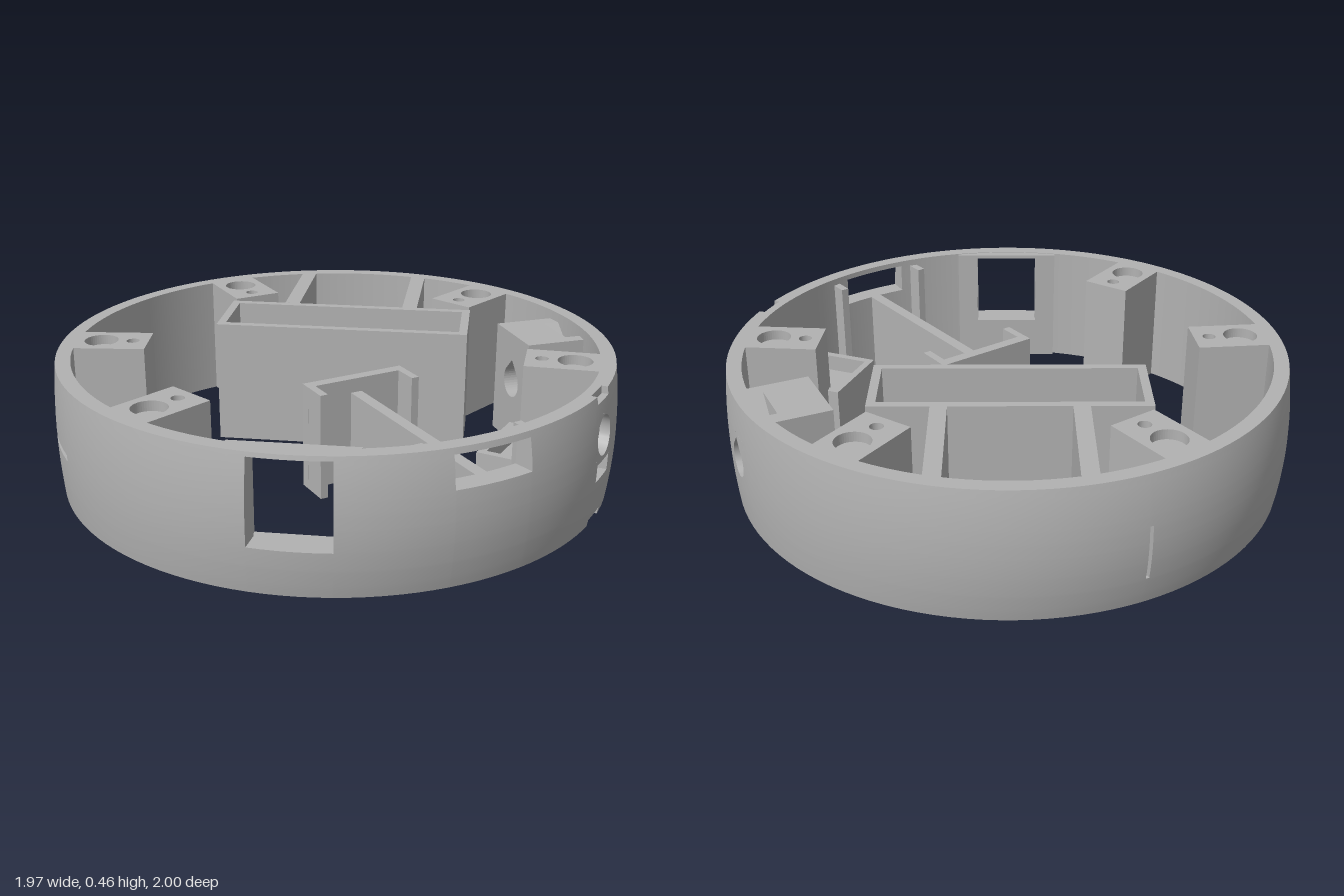
import * as THREE from 'three';
import { toCreasedNormals } from 'three/addons/utils/BufferGeometryUtils.js';

const H = 0.455, RI = 0.92, PI = Math.PI;
const grey = new THREE.MeshStandardMaterial({ color: 0xb2b2b2, side: THREE.DoubleSide });
grey.name = 'grey plastic';

// Point on the wall: angle from the front, height, t = 0 outside .. 1 inside
function wallPoint(a, y, t) {
  const k = (y - H / 2) / (H / 2);
  const bulge = 0.012 * Math.sin(a) ** 2 + 0.028 * Math.cos(a) ** 2;
  const ro = 0.972 + bulge * (1 - k * k);
  const r = ro + (RI - ro) * t;
  return [r * Math.sin(a), y, r * Math.cos(a)];
}

// Rectangular cuts: angle range, height range, depth t (1 = right through)
const F = 0.76;
const cuts = [
  [-0.57, -0.31, 0.16, 0.44, 1],
  [0.05, 0.325, 0.33, 0.435, 1],
  [F - 0.06, F + 0.06, 0.165, 0.225, 1],
  [F - 0.055, F + 0.055, 0.43, H, 0.4],
  [F - 0.055, F + 0.055, 0, 0.025, 0.4],
  [-PI / 2 - 0.165, -PI / 2 + 0.165, 0.2, 0.222, 0.25],
  [PI - 0.015, PI - 0.003, 0.1, 0.29, 0.25],
];

// Polar outlines for the round openings, angle 0 pointing up
const square = h => a => h / Math.max(Math.abs(Math.sin(a)), Math.abs(Math.cos(a)));
const circle = r => () => r;
const teardrop = r => a => {
  const d = Math.abs(Math.atan2(Math.sin(a), Math.cos(a)));
  return d < PI / 4 ? r / Math.cos(PI / 4 - d) : r;
};
// Square wall patches, each a run of rings [outline, depth] from outside to inside
const patches = [
  { a: PI / 2, y: 0.235, h: 0.1, rings: [[square(0.1), 0], [teardrop(0.06), 0], [teardrop(0.06), 1], [square(0.1), 1]] },
  { a: F, y: 0.31, h: 0.075, rings: [[square(0.075), 0], [circle(0.068), 0], [circle(0.068), 0.5],
    [teardrop(0.038), 0.5], [teardrop(0.038), 1], [square(0.075), 1]] },
];

function wallGeometry() {
  const pos = [];
  const quad = (a, b, c, d) => [a, b, c, a, c, d].forEach(p => pos.push(...wallPoint(...p)));
  const breaks = (lo, hi, n, extra) => {
    const fixed = [lo, hi, ...extra];
    for (let i = 1; i < n; i++) {
      const v = lo + (hi - lo) * i / n;
      if (!extra.some(e => Math.abs(e - v) < 0.002)) fixed.push(v);
    }
    return fixed.sort((p, q) => p - q).filter((v, i, s) => !i || v - s[i - 1] > 1e-6);
  };
  const A = breaks(-PI, PI, 120, [...cuts.flatMap(c => [c[0], c[1]]), ...patches.flatMap(p => [p.a - p.h, p.a + p.h])]);
  const Y = breaks(0, H, 10, [...cuts.flatMap(c => [c[2], c[3]]), ...patches.flatMap(p => [p.y - p.h, p.y + p.h])]);
  const n = A.length - 1, m = Y.length - 1;
  const mid = (s, i) => (s[i] + s[i + 1]) / 2;
  const depth = (i, j) => {
    if (j < 0 || j >= m) return 1;
    const a = mid(A, i % n), y = mid(Y, j);
    const c = cuts.find(q => a > q[0] && a < q[1] && y > q[2] && y < q[3]);
    return c ? c[4] : 0;
  };
  for (let i = 0; i < n; i++) for (let j = -1; j < m; j++) {
    const a0 = A[i], a1 = A[i + 1], y0 = Y[j], y1 = Y[j + 1];
    const t = depth(i, j), up = depth(i, j + 1);
    if (t !== up) quad([a0, y1, t], [a1, y1, t], [a1, y1, up], [a0, y1, up]);
    if (j < 0) continue;
    const next = depth(i + 1, j);
    if (t !== next) quad([a1, y0, t], [a1, y0, next], [a1, y1, next], [a1, y1, t]);
    const patched = patches.some(p => Math.abs(mid(A, i) - p.a) < p.h && Math.abs(mid(Y, j) - p.y) < p.h);
    if (t === 1 || patched) continue;
    quad([a0, y0, t], [a1, y0, t], [a1, y1, t], [a0, y1, t]);
    quad([a1, y0, 1], [a0, y0, 1], [a0, y1, 1], [a1, y1, 1]);
  }
  // Lofted patches around the round openings
  const N = 40;
  for (const p of patches) for (let k = 0; k < p.rings.length - 1; k++) for (let i = 0; i < N; i++) {
    const at = (ring, s) => {
      const w = s / N * 2 * PI, r = ring[0](w);
      return [p.a + r * Math.sin(w), p.y + r * Math.cos(w), ring[1]];
    };
    const [o, q] = [p.rings[k], p.rings[k + 1]];
    quad(at(o, i + 1), at(o, i), at(q, i), at(q, i + 1));
  }
  const g = new THREE.BufferGeometry();
  g.setAttribute('position', new THREE.Float32BufferAttribute(pos, 3));
  return toCreasedNormals(g, 0.5);
}

function add(parent, name, geo) {
  const mesh = new THREE.Mesh(geo, grey);
  mesh.name = name;
  parent.add(mesh);
  return mesh;
}
// Box of width w and depth d between two heights
function box(parent, name, x, z, w, d, y0, y1, turn = 0) {
  const b = add(parent, name, new THREE.BoxGeometry(w, y1 - y0, d));
  b.position.set(x, (y0 + y1) / 2, z);
  b.rotation.y = turn;
  return b;
}
function group(parent, name, x = 0, z = 0, turn = 0) {
  const g = new THREE.Group();
  g.name = name;
  g.position.set(x, 0, z);
  g.rotation.y = turn;
  parent.add(g);
  return g;
}
const poly = pts => new THREE.Shape(pts.map(p => new THREE.Vector2(...p)));
const rect = (x0, x1, y0, y1) => poly([[x0, y0], [x1, y0], [x1, y1], [x0, y1]]);
const extrude = (shape, depth) => new THREE.ExtrudeGeometry(shape, { depth, bevelEnabled: false, curveSegments: 24 });
const hole = (shape, x, y, r) => shape.holes.push(new THREE.Path().absarc(x, y, r, 0, 2 * PI, true));

export function createModel() {
  const model = new THREE.Group();
  model.name = 'roundHousing';
  add(model, 'outerWall', wallGeometry());

  // Screw posts with a wide and a narrow socket at both ends
  for (const a of [-2.96, -1.92, -1.06, 2.1, 1.05]) {
    const post = group(model, 'screwPost', 0, 0, a);
    box(post, 'postCore', 0, 0.798, 0.18, 0.264, 0.035, H - 0.035);
    const cap = rect(-0.09, 0.09, -0.93, -0.666);
    hole(cap, 0, -0.835, 0.06);
    hole(cap, 0, -0.722, 0.023);
    for (const y of [0, H - 0.035]) {
      const c = add(post, 'postEnd', extrude(cap, 0.035));
      c.rotation.x = -PI / 2;
      c.position.y = y;
    }
  }

  // Open rectangular compartment with cross bars and ribs to the wall
  const bay = group(model, 'compartment', 0.128, -0.285, -0.441);
  for (const s of [-1, 1]) {
    box(bay, 'longSide', 0, s * 0.137, 0.925, 0.03, 0, H);
    box(bay, 'shortSide', s * 0.4475, 0, 0.03, 0.26, 0, H);
  }
  for (const x of [-0.36, 0, 0.36]) box(bay, 'crossBar', x, 0, 0.065, 0.26, 0, 0.24);
  box(model, 'wallRib', 0.078, -0.715, 0.056, 0.43, 0, H, -0.441);
  box(model, 'wallRib', 0.495, -0.525, 0.056, 0.46, 0, H, -0.441);

  // T-shaped bracket with two short legs and a long beam
  const bracket = group(model, 'bracket', 0.025, 0.142, 0.19);
  box(bracket, 'bracketPlate', 0, 0, 0.385, 0.04, 0, 0.38);
  for (const s of [-1, 1]) box(bracket, 'bracketLeg', s * 0.178, 0.055, 0.028, 0.11, 0, 0.38);
  box(bracket, 'bracketBeam', -0.005, 0.4, 0.042, 0.77, 0, 0.33);

  // Guides beside the front slot
  box(model, 'slotGuide', -0.012, 0.895, 0.028, 0.07, 0, 0.43, 0.19);
  box(model, 'slotGuide', 0.34, 0.83, 0.028, 0.08, 0, 0.43, 0.19);

  // Flat frame behind the large window
  const frameShape = rect(-0.2, 0.2, 0, H - 0.002);
  frameShape.holes.push(rect(-0.122, 0.122, 0.16, 0.44));
  const frame = add(group(model, 'windowFrame', 0, 0, -0.44), 'framePlate', extrude(frameShape, 0.035));
  frame.position.z = 0.885;

  // Shallow tray inside the small round opening
  const tray = group(model, 'tray', 0, 0, F);
  box(tray, 'trayBase', 0, 0.755, 0.295, 0.29, 0, 0.165);
  for (const s of [-1, 1]) box(tray, 'traySide', s * 0.1345, 0.755, 0.026, 0.29, 0.165, 0.225);
  box(tray, 'trayEdge', 0, 0.623, 0.243, 0.026, 0.165, 0.225);

  // Cable block with a teardrop bore, notched where it meets the wall
  const bore = () => {
    const r = teardrop(0.06), pts = [];
    for (let i = 0; i < 40; i++) {
      const w = i / 40 * 2 * PI;
      pts.push([r(w) * Math.sin(w), 0.235 + r(w) * Math.cos(w)]);
    }
    return poly(pts);
  };
  const cable = group(model, 'cableBlock', 0, 0, PI / 2);
  const plain = rect(-0.13, 0.14, 0, 0.42);
  const notched = poly([[-0.13, 0], [0.14, 0], [0.14, 0.42], [0.085, 0.42], [0, 0.335], [-0.085, 0.42], [-0.13, 0.42]]);
  for (const [shape, z, d] of [[plain, 0.69, 0.17], [notched, 0.86, 0.07]]) {
    shape.holes.push(bore());
    add(cable, 'cableBlockPart', extrude(shape, d)).position.z = z;
  }
  return model;
}
